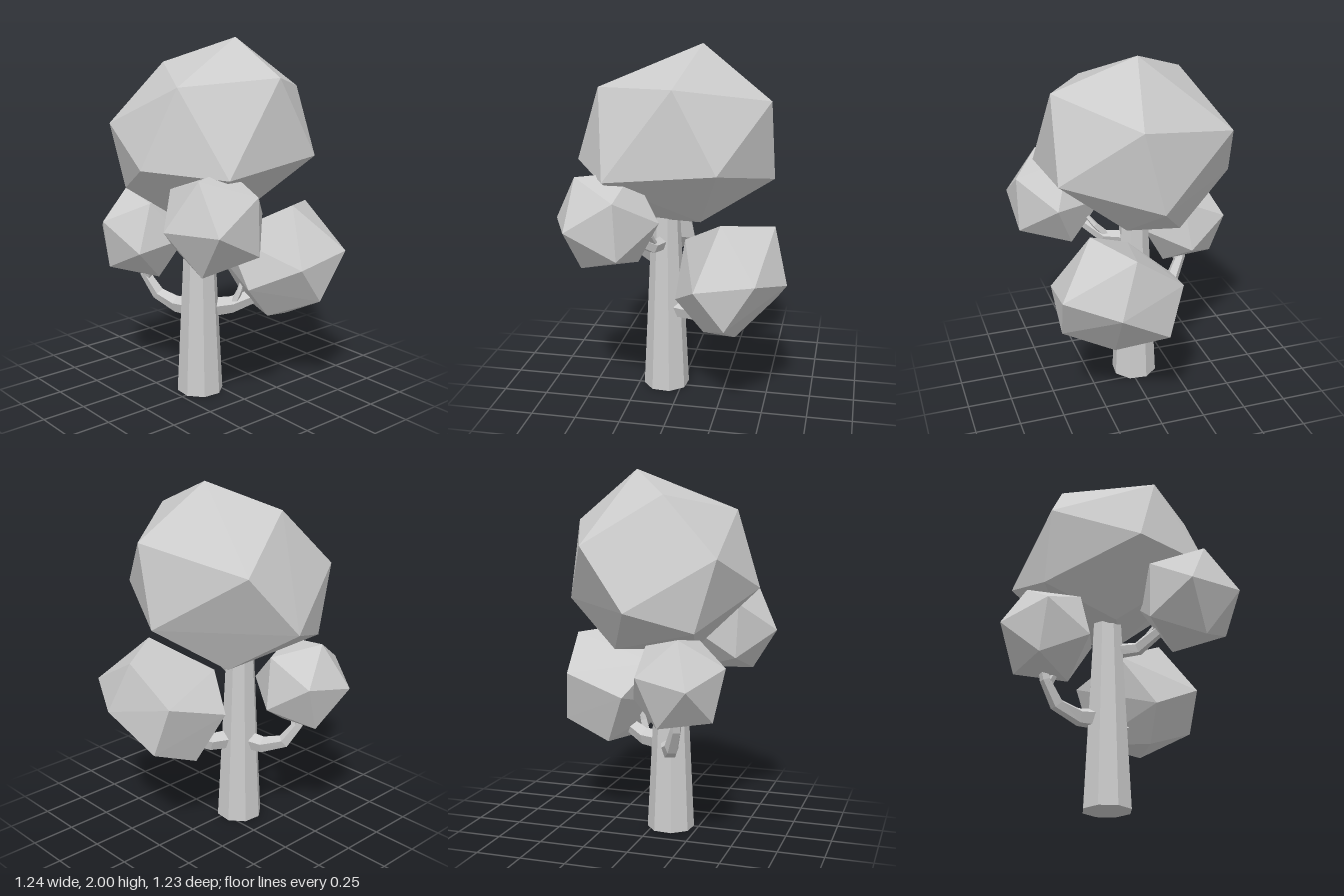
import * as THREE from 'three';
import { ConvexGeometry } from 'three/addons/geometries/ConvexGeometry.js';

const material = new THREE.MeshStandardMaterial({ color: 0xcccccc, flatShading: true });
const vec = (p) => new THREE.Vector3(...p);

function part(name, geometry) {
  const mesh = new THREE.Mesh(geometry, material);
  mesh.name = name;
  return mesh;
}

// Faceted leaf clump spanned by its corner points
const hullClump = (name, corners) => part(name, new ConvexGeometry(corners.map(vec)));

// Regular leaf clump: an icosahedron turned so one corner points along a and a neighbour leans to b
function roundClump(name, centre, radius, a, b) {
  const frame = (p, q) => {
    const y = p.clone().normalize();
    const z = p.clone().cross(q).normalize();
    return new THREE.Matrix4().makeBasis(y.clone().cross(z), y, z);
  };
  const t = (1 + Math.sqrt(5)) / 2;
  const own = frame(new THREE.Vector3(0, 1, t), new THREE.Vector3(0, -1, t));
  const turn = frame(vec(a), vec(b)).multiply(own.transpose());
  const geometry = new THREE.IcosahedronGeometry(radius, 0).applyMatrix4(turn);
  return part(name, geometry.translate(...centre));
}

// Tapering faceted limb along a path
function limb(name, path, r0, r1, steps = 3, sides = 5) {
  const curve = new THREE.CatmullRomCurve3(path.map(vec));
  const geometry = new THREE.TubeGeometry(curve, steps, r0, sides);
  const pos = geometry.attributes.position;
  const v = new THREE.Vector3();
  for (let i = 0; i < pos.count; i++) {
    const u = Math.floor(i / (sides + 1)) / steps;
    const c = curve.getPointAt(u);
    v.fromBufferAttribute(pos, i).sub(c).multiplyScalar(1 + u * (r1 / r0 - 1)).add(c);
    pos.setXYZ(i, v.x, v.y, v.z);
  }
  geometry.computeVertexNormals();
  return part(name, geometry);
}

export function createModel() {
  const tree = new THREE.Group();
  tree.name = 'tree';

  // Eight-sided trunk, reaching into the crown
  const trunk = part('trunk', new THREE.CylinderGeometry(0.076, 0.132, 1.12, 8));
  trunk.geometry.rotateY(0.3).translate(-0.03, 0.56, 0.095);
  tree.add(trunk);

  // Large top crown
  tree.add(hullClump('crown', [
    [0.02, 2.0, -0.12], [0.46, 1.82, -0.04], [-0.30, 1.86, 0.13],
    [0.19, 1.78, 0.41], [0.11, 1.72, -0.50], [-0.46, 1.60, -0.27],
    [-0.38, 1.54, 0.44], [0.08, 1.36, 0.565], [0.49, 1.34, 0.32],
    [0.49, 1.40, -0.27], [-0.56, 1.27, 0.0], [0.0, 1.28, -0.515],
    [-0.40, 1.16, 0.33], [0.0, 1.02, 0.22], [-0.21, 1.03, -0.17],
    [0.08, 1.035, -0.12],
  ]));

  // Back clump
  tree.add(hullClump('backClump', [
    [0.54, 0.85, -0.48], [0.265, 0.77, -0.62], [0.33, 1.10, -0.27],
    [0.16, 1.06, -0.54], [-0.025, 0.58, -0.54], [-0.11, 0.86, -0.50],
    [0.05, 0.92, -0.03], [-0.17, 0.75, -0.15], [0.22, 0.43, -0.34],
    [0.51, 0.58, -0.32], [0.26, 0.645, -0.015], [0.25, 0.46, -0.17],
    [-0.06, 0.47, -0.27], [0.525, 0.79, -0.16],
  ]));

  // Two smaller side clumps
  tree.add(roundClump('rightClump', [-0.37, 0.893, 0.24], 0.274, [-0.02, 0.10, 0.26], [-0.10, 0.19, -0.08]));
  tree.add(roundClump('leftClump', [0.378, 1.11, 0.325], 0.292, [0.065, 0.255, 0.16], [-0.04, 0, 0.30]));

  // Branches with small forks under the clumps
  tree.add(
    limb('rightBranch', [[-0.05, 0.49, 0.1], [-0.26, 0.495, 0.16], [-0.36, 0.62, 0.22], [-0.40, 0.78, 0.24]], 0.058, 0.022, 4),
    limb('rightTwig', [[-0.355, 0.62, 0.22], [-0.33, 0.66, 0.23], [-0.31, 0.75, 0.24]], 0.025, 0.012, 2),
    limb('backBranch', [[-0.02, 0.49, 0.08], [0.05, 0.495, -0.1], [0.12, 0.55, -0.22], [0.17, 0.68, -0.3]], 0.058, 0.035),
    limb('backTwig', [[0.06, 0.50, -0.08], [0.08, 0.56, -0.1], [0.09, 0.66, -0.13]], 0.024, 0.012, 2),
    limb('leftBranch', [[-0.02, 0.88, 0.1], [0.12, 0.89, 0.13], [0.22, 0.95, 0.21], [0.33, 1.08, 0.3]], 0.045, 0.024),
    limb('leftTwig', [[0.12, 0.90, 0.13], [0.17, 0.95, 0.13], [0.24, 1.04, 0.18]], 0.022, 0.012, 2),
  );
  return tree;
}
